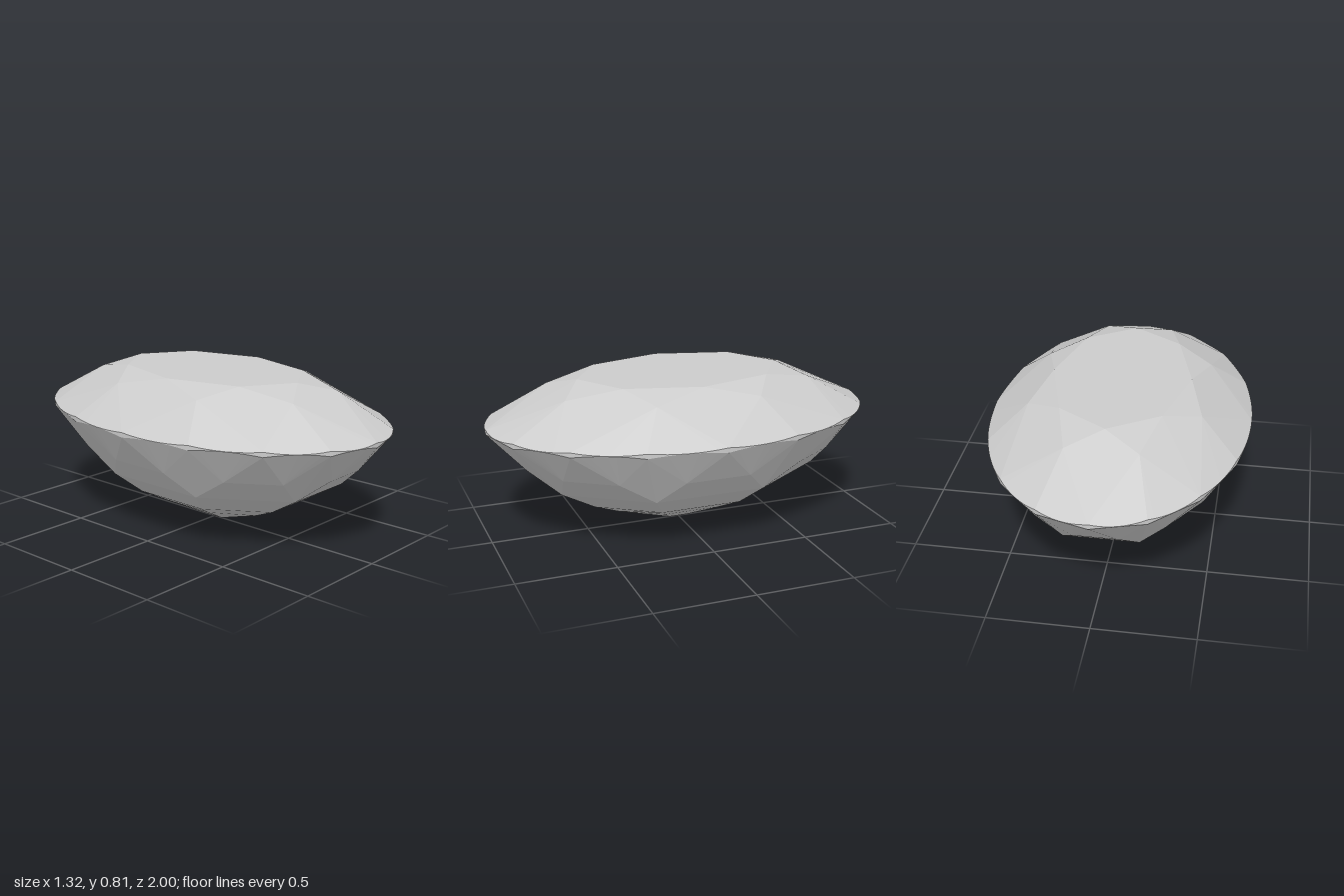
import * as THREE from 'three';
import { toCreasedNormals } from 'three/addons/utils/BufferGeometryUtils.js';

const WIDTH = 0.66;   // half width of the oval, its half length being 1
const STEP = 22.5;    // angle between neighbouring girdle corners
const ARC = 8;        // straight pieces per girdle scallop
const CENTRE = new THREE.Vector3(0, 0.5, 0);

// Point on an oval ring; rx and rz scale its two half axes
function point(deg, y, rz, rx = rz) {
  const a = THREE.MathUtils.degToRad(deg);
  return new THREE.Vector3(WIDTH * rx * Math.cos(a), y, rz * Math.sin(a));
}

// Convex facet as a triangle fan, always turned outwards
function facet(out, ...p) {
  for (let i = 1; i < p.length - 1; i++) {
    const [a, b, c] = [p[0], p[i], p[i + 1]];
    const n = b.clone().sub(a).cross(c.clone().sub(a));
    if (n.length() < 1e-9) continue;
    const outward = n.dot(a.clone().add(b).add(c).divideScalar(3).sub(CENTRE)) > 0;
    for (const v of outward ? [a, b, c] : [a, c, b]) out.push(v.x, v.y, v.z);
  }
}

// Scalloped girdle edges
const scallop = (deg) => {
  const u = (((deg % STEP) + STEP) % STEP) / STEP;
  return 4 * u * (1 - u);
};
const upper = (deg) => point(deg, 0.595 - 0.009 * scallop(deg), 1);
const lower = (deg) => point(deg, 0.57 + 0.015 * scallop(deg), 1);
const arc = (edge, from, to) =>
  Array.from({ length: ARC + 1 }, (_, i) => edge(from + ((to - from) * i) / ARC));

function makeMesh(name, positions, smooth) {
  let geometry = new THREE.BufferGeometry();
  geometry.setAttribute('position', new THREE.Float32BufferAttribute(positions, 3));
  geometry.computeVertexNormals();
  if (smooth) geometry = toCreasedNormals(geometry, 0.3);
  const material = new THREE.MeshStandardMaterial({ color: 0xcccccc, flatShading: !smooth });
  const mesh = new THREE.Mesh(geometry, material);
  mesh.name = name;
  return mesh;
}

export function createModel() {
  const table = [], crown = [], girdle = [], pavilion = [];
  const tablePoint = (deg) => point(deg, 0.805, 0.535, 0.53);
  const crownPoint = (deg) => point(deg, 0.753, 0.7);

  // Flat eight-sided top
  facet(table, ...Array.from({ length: 8 }, (_, i) => tablePoint(i * 45)));

  // Pavilion rows below its widest corners: y, length scale, width scale
  const rows = [[0.28, 0.735, 0.735], [0.173, 0.541, 0.541], [0.11, 0.39, 0.35]];
  const culet = (deg) => new THREE.Vector3(0, 0, 0.05 * Math.sign(Math.sin(THREE.MathUtils.degToRad(deg))));

  for (let k = 0; k < 8; k++) {
    const mid = k * 45, a = mid - STEP, b = mid + STEP;

    // Crown: star, kite and upper girdle facets
    facet(crown, tablePoint(mid), tablePoint(mid + 45), crownPoint(b));
    facet(crown, tablePoint(mid), crownPoint(a), upper(mid), crownPoint(b));
    for (const side of [a, b]) facet(crown, crownPoint(side), ...arc(upper, mid, side));

    // Pavilion: bent main facet with lower girdle facets on both sides
    const [y, rz, rx] = rows[0];
    const bendA = point(mid - STEP / 2, 0.4, 0.846);
    const bendB = point(mid + STEP / 2, 0.4, 0.846);
    facet(pavilion, lower(mid), bendA, bendB);
    facet(pavilion, bendA, bendB, point(b, y, rz, rx), point(a, y, rz, rx));
    for (const [side, bend] of [[a, bendA], [b, bendB]]) {
      facet(pavilion, point(side, y, rz, rx), bend, lower(side));
      facet(pavilion, bend, ...arc(lower, mid, side));
    }

    // Pavilion steps down to the short keel
    for (let i = 0; i < rows.length - 1; i++) {
      const [y0, z0, x0] = rows[i], [y1, z1, x1] = rows[i + 1];
      facet(pavilion, point(a, y0, z0, x0), point(b, y0, z0, x0), point(b, y1, z1, x1), point(a, y1, z1, x1));
    }
    const [yl, zl, xl] = rows[rows.length - 1];
    facet(pavilion, point(a, yl, zl, xl), point(b, yl, zl, xl), culet(b), culet(a));
  }

  // Thin scalloped rim
  const count = 16 * ARC;
  for (let i = 0; i < count; i++) {
    const a = (i * 360) / count, b = ((i + 1) * 360) / count;
    facet(girdle, lower(a), lower(b), upper(b), upper(a));
  }

  const gem = new THREE.Group();
  gem.name = 'ovalGem';
  gem.add(
    makeMesh('table', table, false),
    makeMesh('crown', crown, false),
    makeMesh('girdle', girdle, true),
    makeMesh('pavilion', pavilion, false)
  );
  return gem;
}
